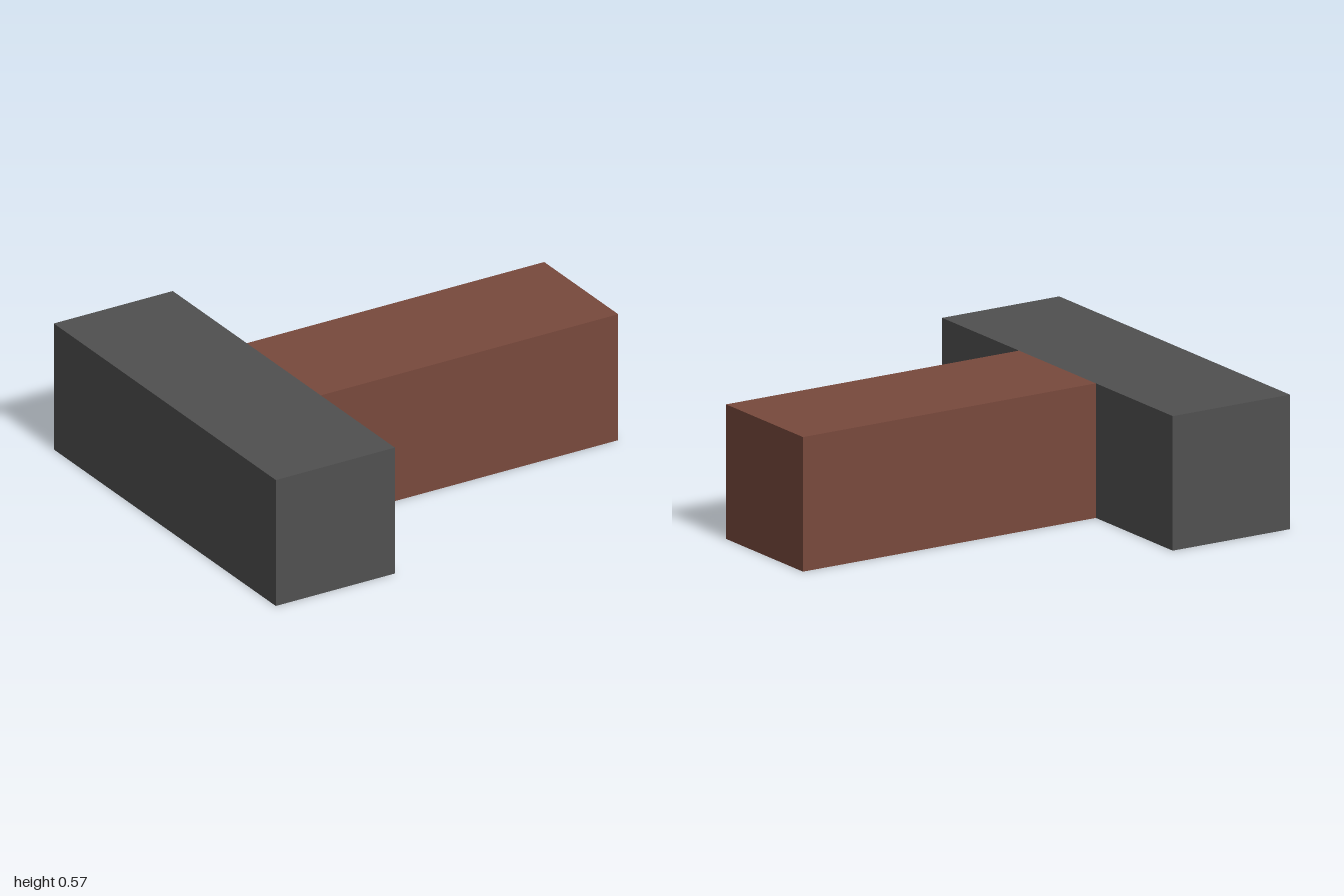
import * as THREE from 'three';

const U = 2 / 7; // the blocks sit on a seven-unit grid along the longest side

export function createModel() {
  const group = new THREE.Group();
  group.name = 'hammer';

  const iron = new THREE.MeshStandardMaterial({ color: 0x505050 });
  iron.name = 'dark iron';
  const wood = new THREE.MeshStandardMaterial({ color: 0x78493c });
  wood.name = 'reddish wood';

  // Box resting on the ground, sized in grid units and starting at a given x
  const block = (name, material, startX, length, depth) => {
    const mesh = new THREE.Mesh(new THREE.BoxGeometry(length * U, 2 * U, depth * U), material);
    mesh.name = name;
    mesh.position.set((startX + length / 2) * U, U, 0);
    group.add(mesh);
  };

  block('head', iron, -3.5, 2, 6); // wide crosspiece
  block('handle', wood, -1.5, 5, 2); // shaft butted against the head

  return group;
}
